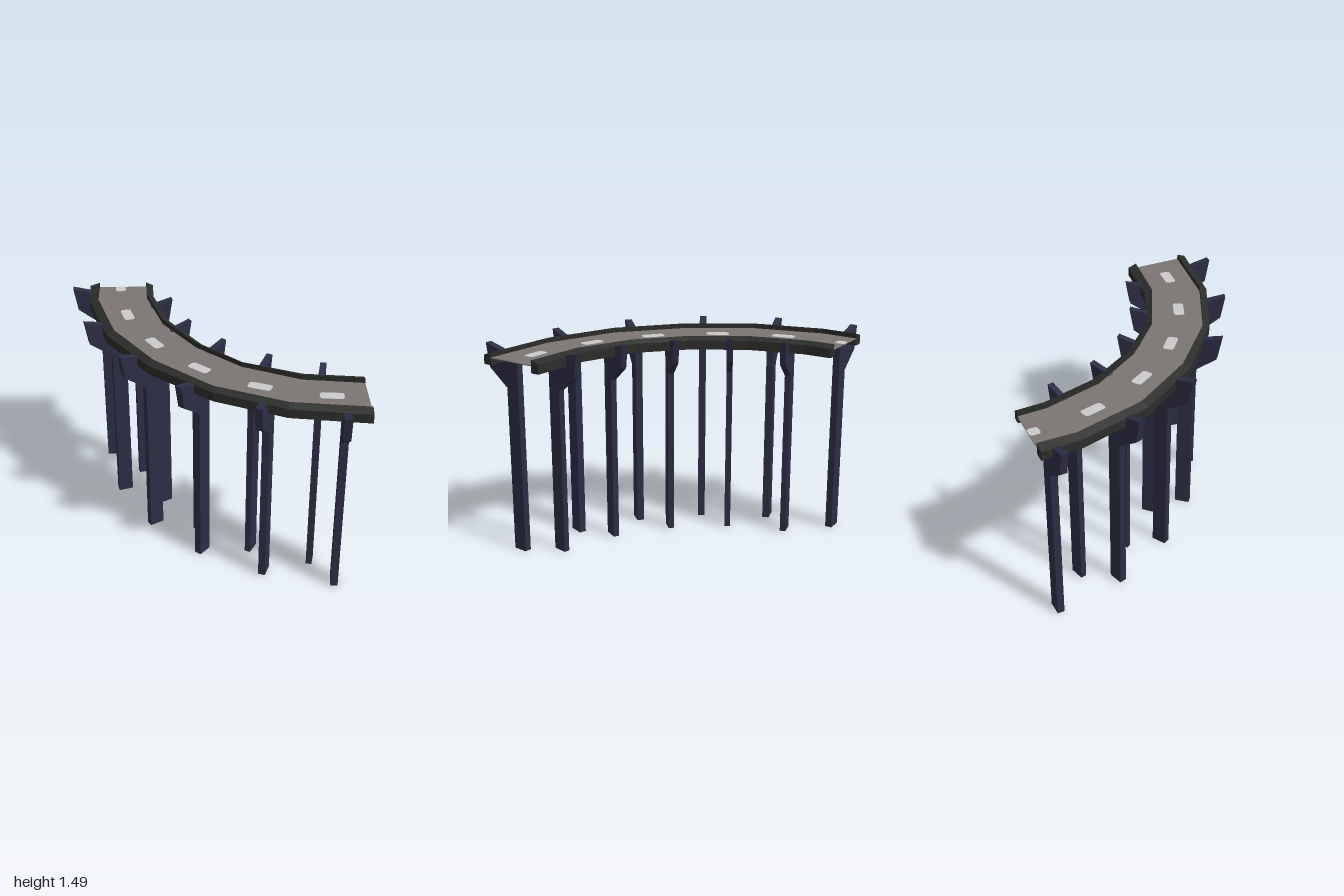
import * as THREE from 'three';

const mat = (name, color, side = THREE.FrontSide) => {
  const m = new THREE.MeshStandardMaterial({ color, side });
  m.name = name;
  return m;
};

// plan outlines of the bend as [x, z], from the back end to the side end
const outerEdge = [[-0.88, -1], [-0.87, -0.74], [-0.72, -0.21], [-0.42, 0.23], [0, 0.585], [0.47, 0.8], [1, 0.88]];
const outerRoad = [[-0.81, -1], [-0.81, -0.74], [-0.67, -0.24], [-0.385, 0.19], [0, 0.535], [0.48, 0.75], [1, 0.82]];
const innerRoad = [[-0.46, -1], [-0.45, -0.8], [-0.33, -0.39], [-0.1, -0.04], [0.2, 0.235], [0.59, 0.415], [1, 0.47]];
const innerEdge = [[-0.41, -1], [-0.4, -0.8], [-0.285, -0.41], [-0.06, -0.06], [0.21, 0.195], [0.6, 0.36], [1, 0.41]];
const ROAD_Y = 1.44;

// four-sided strip between two outlines, with flat facets and end caps
function strip(left, right, bottom, topLeft, topRight) {
  const rings = left.map(([lx, lz], i) => {
    const [rx, rz] = right[i];
    return [[lx, bottom, lz], [lx, topLeft, lz], [rx, topRight, rz], [rx, bottom, rz]];
  });
  const pos = [];
  const tri = (a, b, c) => pos.push(...a, ...b, ...c);
  for (let i = 0; i < rings.length - 1; i++) {
    const s = rings[i], n = rings[i + 1];
    for (let j = 0; j < 4; j++) {
      const k = (j + 1) % 4;
      tri(s[j], n[j], s[k]);
      tri(n[j], n[k], s[k]);
    }
  }
  const a = rings[0], b = rings[rings.length - 1];
  tri(a[0], a[1], a[2]); tri(a[0], a[2], a[3]);
  tri(b[0], b[2], b[1]); tri(b[0], b[3], b[2]);
  const g = new THREE.BufferGeometry();
  g.setAttribute('position', new THREE.Float32BufferAttribute(pos, 3));
  g.computeVertexNormals();
  return g;
}

// post with a bracket flaring outward at the top; its tip is at x = 0
function pierGeometry(width) {
  const profile = [[0, 1.49], [-0.03, 1.32], [-0.19, 1.2], [-0.19, 0], [-0.295, 0], [-0.295, 1.41], [-0.18, 1.43], [-0.13, 1.46]];
  const shape = new THREE.Shape(profile.map(([x, y]) => new THREE.Vector2(x, y)));
  return new THREE.ExtrudeGeometry(shape, { depth: width, bevelEnabled: false }).translate(0, 0, -width / 2);
}

// flat marking with rounded corners, lying along x
function dashGeometry(length, width) {
  const x = length / 2, y = width / 2, r = 0.022;
  const s = new THREE.Shape();
  s.moveTo(-x + r, -y);
  s.lineTo(x - r, -y).quadraticCurveTo(x, -y, x, -y + r);
  s.lineTo(x, y - r).quadraticCurveTo(x, y, x - r, y);
  s.lineTo(-x + r, y).quadraticCurveTo(-x, y, -x, y - r);
  s.lineTo(-x, -y + r).quadraticCurveTo(-x, -y, -x + r, -y);
  return new THREE.ExtrudeGeometry(s, { depth: 0.009, bevelEnabled: false, curveSegments: 3 })
    .translate(0, 0, -0.0045).rotateX(-Math.PI / 2);
}

export function createModel() {
  const model = new THREE.Group();
  model.name = 'curvedElevatedRoad';
  const asphalt = mat('asphalt', 0x7b7674);
  const curbMat = mat('darkCurb', 0x2b2d2a);
  const steel = mat('blueSteel', 0x2d2d45);
  const paint = mat('whitePaint', 0xcacaca);
  const add = (name, geometry, material, parent = model) => {
    const m = new THREE.Mesh(geometry, material);
    m.name = name;
    parent.add(m);
    return m;
  };

  // road deck and its two curbs
  add('roadDeck', strip(outerRoad, innerRoad, ROAD_Y - 0.003, ROAD_Y + 0.003, ROAD_Y + 0.003), asphalt);
  add('outerCurb', strip(outerEdge, outerRoad, 1.39, 1.455, 1.478), curbMat);
  add('innerCurb', strip(innerRoad, innerEdge, 1.39, 1.478, 1.455), curbMat);

  // centre line dashes: x, z, direction x, direction z, length
  const dashes = new THREE.Group();
  dashes.name = 'centreLine';
  model.add(dashes);
  for (const [x, z, dx, dz, len] of [
    [-0.65, -0.962, 0, 1, 0.075], [-0.585, -0.54, 0.26, 0.96, 0.16], [-0.385, -0.11, 0.53, 0.85, 0.16],
    [-0.08, 0.245, 0.76, 0.65, 0.16], [0.31, 0.495, 0.93, 0.37, 0.16], [0.765, 0.625, 0.99, 0.1, 0.16],
  ]) {
    const d = add('dash', dashGeometry(len, 0.075), paint, dashes);
    d.position.set(x, ROAD_Y, z);
    d.rotation.y = Math.atan2(-dz, dx);
  }

  // piers along both edges: tip x, tip z, outward direction x, z
  const rows = {
    outerPier: [0.05, [[-1, -0.893, -1, 0.04], [-0.885, -0.335, -0.95, 0.3], [-0.62, 0.16, -0.86, 0.52],
      [-0.225, 0.567, -0.64, 0.77], [0.275, 0.85, -0.35, 0.94], [0.825, 0.995, -0.08, 1]]],
    innerPier: [0.042, [[-0.265, -0.705, 0.965, -0.26], [-0.135, -0.36, 0.87, -0.5], [0.095, -0.07, 0.7, -0.7],
      [0.395, 0.15, 0.47, -0.88], [0.745, 0.275, 0.2, -0.98]]],
  };
  for (const [name, [width, places]] of Object.entries(rows)) {
    const geometry = pierGeometry(width);
    for (const [x, z, dx, dz] of places) {
      const pier = add(name, geometry, steel);
      pier.position.set(x, 0, z);
      pier.rotation.y = Math.atan2(-dz, dx);
    }
  }
  return model;
}
